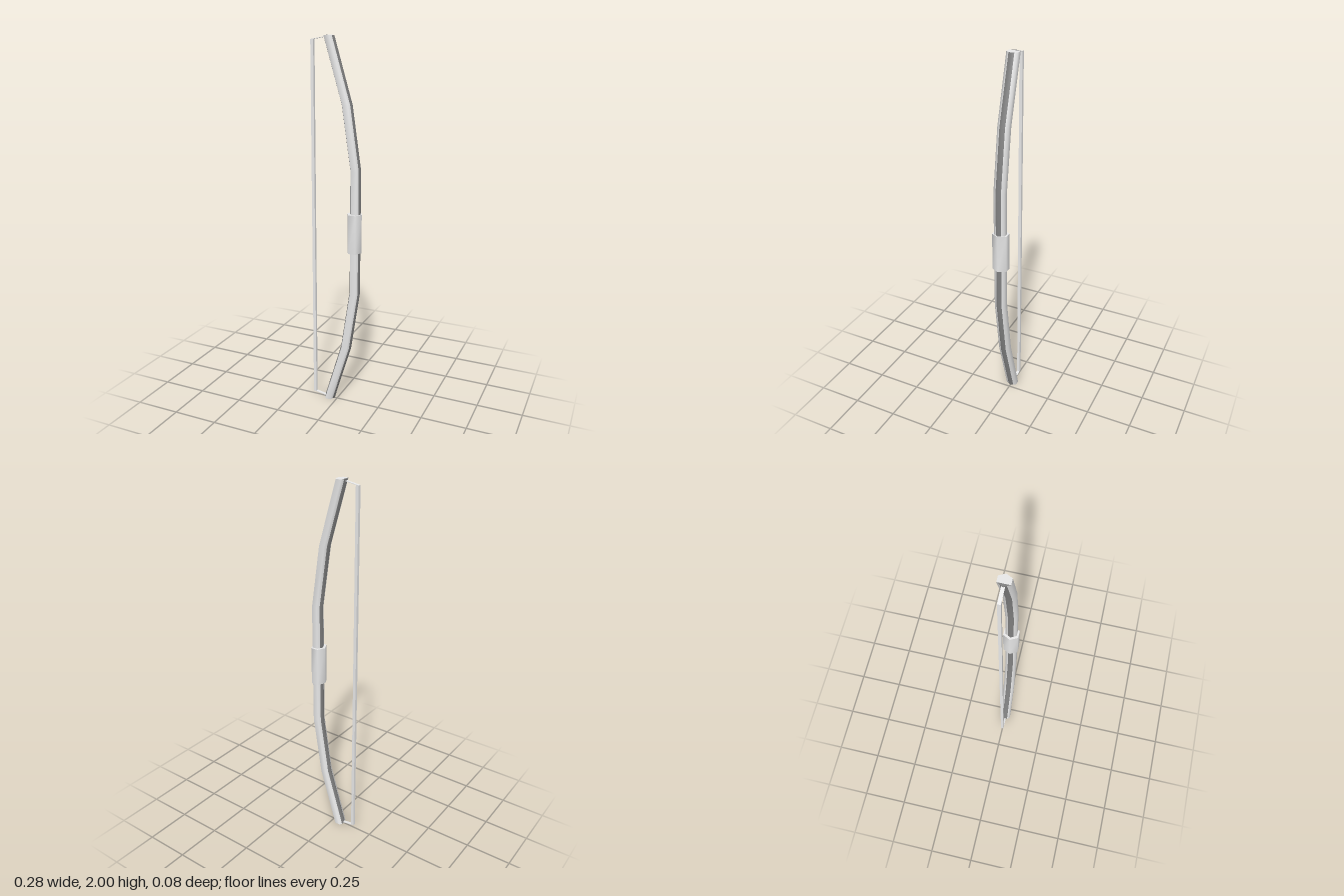
import * as THREE from 'three';

// Elongated hexagon, counter-clockwise seen from above, points on +x and -x
const hexSection = (r) => [[r, 0], [r / 2, -r], [-r / 2, -r], [-r, 0], [-r / 2, r], [r / 2, r]];
const squareSection = (r) => [[r, r], [r, -r], [-r, -r], [-r, r]];

// The same hexagon with its slanted sides halved, so the ridges can have their own colour
const ridgedSection = (r) => [
  [r, 0], [0.75 * r, -r / 2], [r / 2, -r], [-r / 2, -r], [-0.75 * r, -r / 2],
  [-r, 0], [-0.75 * r, r / 2], [-r / 2, r], [r / 2, r], [0.75 * r, r / 2],
];

// Stack a horizontal section along a rising path of [x, y] points, with closed ends.
// Material 0 covers everything except the listed side strips and end triangles (material 1).
function loft(section, path, { flat = false, darkStrips = [], darkEnds = [] } = {}) {
  const n = section.length, pos = [], faces = [[], []];
  const ring = ([x, y]) => section.forEach(([sx, sz]) => pos.push(x + sx, y, sz));
  path.forEach(ring);
  for (let i = 0; i < path.length - 1; i++) {
    for (let j = 0; j < n; j++) {
      const a = i * n + j, b = i * n + (j + 1) % n;
      faces[+darkStrips.includes(j)].push(a, b, b + n, a, b + n, a + n);
    }
  }
  // End caps with their own corners so their rims stay sharp, fanned from corner 3
  const bottom = pos.length / 3;
  ring(path[0]);
  const top = bottom + n;
  ring(path[path.length - 1]);
  for (let k = 1; k < n - 1; k++) {
    const p = (3 + k) % n, q = (4 + k) % n;
    faces[+darkEnds.includes(k)].push(bottom + 3, bottom + q, bottom + p, top + 3, top + p, top + q);
  }
  let geo = new THREE.BufferGeometry();
  geo.setAttribute('position', new THREE.Float32BufferAttribute(pos, 3));
  geo.setIndex(faces.flat());
  if (flat) geo = geo.toNonIndexed();
  geo.addGroup(0, faces[0].length, 0);
  geo.addGroup(faces[0].length, faces[1].length, 1);
  geo.computeVertexNormals();
  return geo;
}

// Complete a lower half path with its mirror image about y = 1
const mirrored = (half) => [...half, ...half.map(([x, y]) => [x, 2 - y]).reverse()];

function material(name, color) {
  const mat = new THREE.MeshStandardMaterial({ color });
  mat.name = name;
  return mat;
}

export function createModel() {
  const group = new THREE.Group();
  const lightGrey = material('lightGrey', 0xe7e7e7);
  const darkGrey = material('darkGrey', 0x808080);

  const add = (name, geometry, mat) => {
    const mesh = new THREE.Mesh(geometry, mat);
    mesh.name = name;
    group.add(mesh);
  };

  // Bent stave with dark ridges along its belly and back
  const stavePath = mirrored([[-0.045, 0], [0.055, 0.335], [0.104, 0.665]]);
  const ridges = { darkStrips: [0, 4, 5, 9], darkEnds: [1, 2, 3] };
  add('bowStave', loft(ridgedSection(0.03), stavePath, ridges), [lightGrey, darkGrey]);

  // Wider sleeve around the middle
  add('grip', loft(hexSection(0.04), [[0.1, 0.895], [0.1, 1.105]]), [lightGrey, darkGrey]);

  // String with thin ends running into the tips
  const stringPath = mirrored([[-0.05, 0.005], [-0.135, 0.02]]);
  add('bowString', loft(squareSection(0.008), stringPath, { flat: true }), [lightGrey, darkGrey]);

  return group;
}
